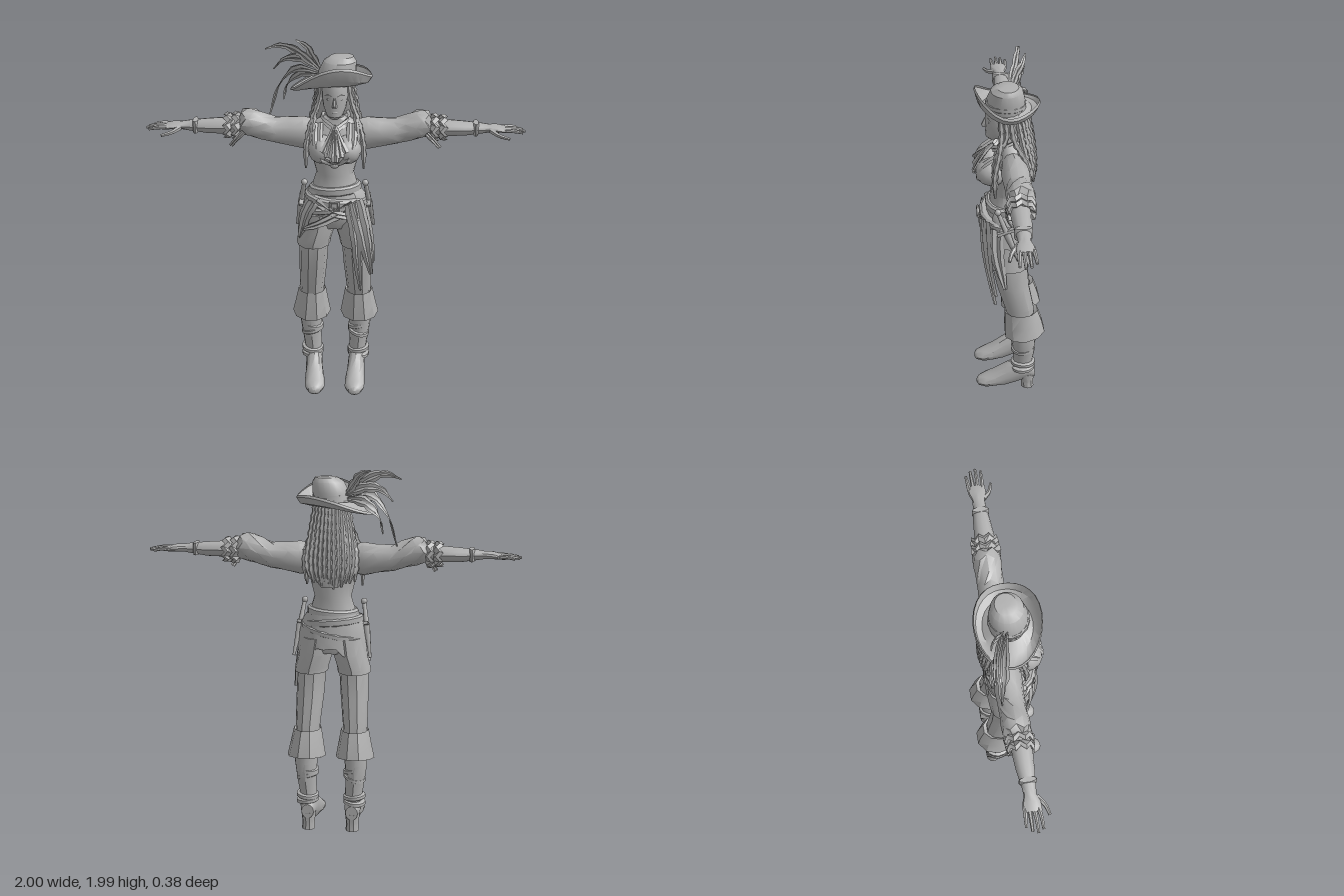
import * as THREE from 'three';
import { toCreasedNormals } from 'three/addons/utils/BufferGeometryUtils.js';

const grey = new THREE.MeshStandardMaterial({ color: 0xb0b0b0, side: THREE.DoubleSide });
grey.name = 'plain grey';
const V = (p) => new THREE.Vector3(...p);
const mirror = (rows, s) => rows.map(([x, ...r]) => [s * x, ...r]);

// Skin a grid of points; closed grids get end caps and are turned outward.
function skin(rows, closed, crease = 0.6) {
  const pos = [], idx = [], n = rows[0].length;
  rows.forEach((r) => r.forEach((p) => pos.push(p.x, p.y, p.z)));
  for (let i = 0; i < rows.length - 1; i++) {
    for (let j = 0; j < (closed ? n : n - 1); j++) {
      const a = i * n + j, b = i * n + (j + 1) % n;
      idx.push(a, b, b + n, a, b + n, a + n);
    }
  }
  if (closed) {
    [rows[0], rows[rows.length - 1]].forEach((r, e) => {
      const c = r.reduce((t, p) => t.add(p), new THREE.Vector3()).divideScalar(n);
      const k = pos.push(c.x, c.y, c.z) / 3 - 1, o = e * (rows.length - 1) * n;
      for (let j = 0; j < n; j++) {
        const a = o + j, b = o + (j + 1) % n;
        if (e) idx.push(a, b, k); else idx.push(b, a, k);
      }
    });
    const at = (i) => new THREE.Vector3().fromArray(pos, i * 3);
    let vol = 0;
    for (let i = 0; i < idx.length; i += 3) vol += at(idx[i]).dot(at(idx[i + 1]).cross(at(idx[i + 2])));
    if (vol < 0) idx.reverse();
  }
  const g = new THREE.BufferGeometry();
  g.setAttribute('position', new THREE.Float32BufferAttribute(pos, 3));
  g.setIndex(idx);
  return toCreasedNormals(g, crease);
}

// Elliptical rings [x, y, z, r1, r2] square to an axis, optionally warped.
function loft(rings, axis = 'y', n = 14, warp = null) {
  return skin(rings.map(([x, y, z, a, b], i) => Array.from({ length: n }, (_, j) => {
    const t = j / n * Math.PI * 2, c = a * Math.cos(t), s = b * Math.sin(t);
    const p = axis === 'y' ? V([x + c, y, z + s]) : axis === 'x' ? V([x, y + c, z + s]) : V([x + c, y + s, z]);
    if (warp) warp(p, t, i, j);
    return p;
  })), true);
}

// Round cord along a curve with a varying radius.
function sweep(points, radius, steps = 8, n = 6) {
  const curve = new THREE.CatmullRomCurve3(points.map(V)), f = curve.computeFrenetFrames(steps);
  return skin(Array.from({ length: steps + 1 }, (_, i) => Array.from({ length: n }, (_, j) => {
    const t = j / n * Math.PI * 2, r = radius(i / steps, i);
    return curve.getPointAt(i / steps).addScaledVector(f.normals[i], r * Math.cos(t)).addScaledVector(f.binormals[i], r * Math.sin(t));
  })), true);
}

// Thin cloth strip along a curve with a raised middle fold.
function ribbon(points, width, side, fold = 0.01, steps = 8) {
  const curve = new THREE.CatmullRomCurve3(points.map(V));
  return skin(Array.from({ length: steps + 1 }, (_, i) => {
    const t = i / steps, p = curve.getPointAt(t), tan = curve.getTangentAt(t);
    const d = V(side).addScaledVector(tan, -V(side).dot(tan)).normalize(), up = d.clone().cross(tan);
    return [-1, -0.5, 0, 0.5, 1].map((k, j) => p.clone().addScaledVector(d, k * width(t, i)).addScaledVector(up, j % 2 ? -fold : fold));
  }), false);
}

export function createModel() {
  const model = new THREE.Group();
  const add = (name, geo, parent = model) => {
    const m = new THREE.Mesh(geo, grey);
    m.name = name;
    parent.add(m);
    return m;
  };
  const ball = (name, x, y, z, a, b, c) => {
    const m = add(name, new THREE.SphereGeometry(1, 14, 10));
    m.scale.set(a, b, c);
    m.position.set(x, y, z);
  };
  const band = (name, x, y, z, a, b, h, tilt = 0, t = 0.012) => add(name, loft(
    [[x, y - h, z, a, b], [x, y - h * 0.6, z, a + t, b + t], [x, y + h * 0.6, z, a + t, b + t], [x, y + h, z, a, b]],
    'y', 14, (p) => { p.y += tilt * (p.x - x) + tilt * 0.5 * (p.z - z); }));

  // Torso, neck and bust
  add('torso', loft([[0, 1.0, 0.005, 0.12, 0.1], [0, 1.05, 0.01, 0.172, 0.118], [0, 1.15, 0.02, 0.158, 0.115], [0, 1.22, 0.015, 0.125, 0.095],
    [0, 1.3, 0.01, 0.1, 0.088], [0, 1.4, 0.015, 0.125, 0.095], [0, 1.48, 0.005, 0.148, 0.09], [0, 1.55, -0.01, 0.15, 0.07],
    [0, 1.595, -0.005, 0.085, 0.05], [0, 1.61, 0.005, 0.045, 0.042], [0, 1.68, 0.03, 0.04, 0.042]], 'y', 18));
  for (const s of [1, -1]) {
    ball('bust', s * 0.066, 1.455, 0.095, 0.075, 0.075, 0.088);
    add('shirtFront', ribbon(mirror([[0.09, 1.585, 0.045], [0.085, 1.5, 0.155], [0.05, 1.42, 0.175], [0, 1.385, 0.145]], s), () => 0.028, [1, 0, 0], 0.004));
    add('collar', ribbon(mirror([[0.055, 1.62, -0.03], [0.068, 1.6, 0.03], [0, 1.56, 0.095]], s), () => 0.022, [0.3 * s, 1, 0], 0.006));
  }
  ball('shirtKnot', 0, 1.385, 0.135, 0.025, 0.02, 0.025);
  for (let i = -2; i <= 2; i++) {
    add('cravatPleat', ribbon([[0, 1.585, 0.085], [i * 0.014, 1.52, 0.145], [i * 0.028, 1.42 + Math.abs(i) * 0.022, 0.192 - Math.abs(i) * 0.004]],
      (t) => 0.008 + 0.016 * t, [1, 0, 0.3 * i], 0.006, 4));
  }

  // Head and face
  add('head', loft([[0, 1.622, 0.085, 0.02, 0.022], [0, 1.64, 0.072, 0.042, 0.052], [0, 1.68, 0.053, 0.06, 0.07], [0, 1.73, 0.045, 0.068, 0.08],
    [0, 1.79, 0.04, 0.07, 0.085], [0, 1.86, 0.035, 0.055, 0.065]], 'y', 16));
  add('nose', loft([[0, 1.695, 0.122, 0.013, 0.02], [0, 1.705, 0.125, 0.012, 0.022], [0, 1.745, 0.118, 0.006, 0.01]], 'y', 6));
  ball('lips', 0, 1.667, 0.115, 0.019, 0.008, 0.01);
  for (const s of [1, -1]) {
    ball('eye', s * 0.027, 1.735, 0.107, 0.014, 0.007, 0.009);
    add('eyebrow', sweep(mirror([[0.012, 1.752, 0.119], [0.03, 1.76, 0.113], [0.05, 1.752, 0.096]], s), () => 0.004, 4));
  }

  // Hair: back mass covered with twisted locks, plus locks over the shoulders
  add('hairBack', loft([[0, 1.85, 0, 0.08, 0.08], [0, 1.75, -0.025, 0.092, 0.07], [0, 1.62, -0.065, 0.115, 0.052], [0, 1.5, -0.095, 0.12, 0.036],
    [0, 1.42, -0.11, 0.09, 0.026], [0, 1.37, -0.118, 0.045, 0.014]], 'y', 16));
  const lock = (pts, r) => add('hairLock', sweep(pts, (t, i) => (i % 2 ? r : r * 0.65) * (t > 0.9 ? 0.5 : 1), 18));
  for (let i = -5; i <= 5; i++) {
    const u = i / 5, k = 1 - u * u;
    lock([[u * 0.085, 1.8, -0.03 - 0.055 * k], [u * 0.11, 1.64, -0.06 - 0.055 * k], [u * 0.125, 1.5, -0.095 - 0.035 * k],
      [u * 0.105, 1.375 + 0.03 * u * u + 0.012 * (i % 2), -0.115 - 0.012 * k]], 0.019);
  }
  for (const s of [1, -1]) {
    lock(mirror([[0.068, 1.8, 0.055], [0.085, 1.7, 0.045], [0.125, 1.59, 0.06], [0.15, 1.48, 0.085], [0.152, 1.345, 0.085]], s), 0.018);
    lock(mirror([[0.075, 1.79, 0.03], [0.095, 1.68, 0.02], [0.115, 1.58, 0.07], [0.125, 1.42, 0.1]], s), 0.018);
    lock(mirror([[0.08, 1.79, 0], [0.105, 1.66, -0.02], [0.135, 1.54, -0.08], [0.13, 1.4, -0.09]], s), 0.02);
  }

  // Wide hat with an upturned brim
  add('hatCrown', loft([[0.005, 1.8, 0.02, 0.1, 0.1], [0.012, 1.86, 0.018, 0.098, 0.098], [0.025, 1.915, 0.015, 0.085, 0.082],
    [0.035, 1.938, 0.01, 0.06, 0.055], [0.04, 1.94, 0.01, 0.02, 0.02]], 'y', 18));
  band('hatBand', 0.006, 1.825, 0.02, 0.098, 0.098, 0.016, 0.12, 0.006);
  const brimLift = (t) => 0.035 * Math.cos(t) + 0.085 * Math.max(0, Math.sin(t + 0.25)) ** 2 + 0.02 * Math.cos(2 * t + 2.4);
  add('hatBrim', skin([[0.09, 0.09, 1.815, 0], [0.15, 0.125, 1.785, 0.25], [0.195, 0.155, 1.785, 0.6], [0.215, 0.17, 1.805, 1], [0.208, 0.164, 1.818, 1]]
    .map(([a, b, y, k]) => Array.from({ length: 29 }, (_, j) => {
      const t = j / 28 * Math.PI * 2;
      return V([-0.02 + a * Math.cos(t), y + k * brimLift(t), 0.01 + b * Math.sin(t)]);
    })), false));

  // Plumes
  [[[-0.07, 1.85, 0], [-0.2, 1.945, -0.05], [-0.29, 1.97, -0.07], [-0.37, 1.945, -0.08]],
    [[-0.07, 1.85, -0.02], [-0.12, 1.92, -0.05], [-0.15, 1.96, -0.08], [-0.21, 1.99, -0.1]],
    [[-0.07, 1.84, 0], [-0.2, 1.86, -0.03], [-0.3, 1.75, -0.06], [-0.35, 1.59, -0.07]],
    [[-0.07, 1.85, -0.03], [-0.18, 1.9, -0.07], [-0.27, 1.89, -0.09], [-0.33, 1.83, -0.1]],
    [[-0.07, 1.83, -0.02], [-0.18, 1.82, -0.07], [-0.26, 1.74, -0.1], [-0.28, 1.66, -0.11]]]
    .forEach((p) => add('feather', ribbon(p, (t, i) => 0.003 + 0.03 * Math.sin(Math.PI * t ** 0.8) * (i % 3 === 2 ? 0.7 : 1), [0.5, 0.9, 0.6], 0.003, 12)));

  for (const s of [1, -1]) {
    // Sleeves with creases, tied ruffles, forearms
    add('sleeve', loft(mirror([[0.1, 1.51, -0.01, 0.075, 0.06], [0.17, 1.51, -0.015, 0.09, 0.072], [0.24, 1.515, -0.02, 0.078, 0.074], [0.32, 1.52, -0.02, 0.07, 0.07],
      [0.38, 1.54, -0.02, 0.073, 0.07], [0.44, 1.56, -0.02, 0.078, 0.075], [0.48, 1.565, -0.02, 0.07, 0.072], [0.51, 1.55, -0.02, 0.045, 0.05]], s),
    'x', 12, (p, t, i, j) => { if (i > 1 && i < 7) p.x += s * 0.012 * ((i + j) % 2 ? 1 : -1); }));
    [[0.495, 0.075], [0.54, 0.07]].forEach(([x, r]) => add('sleeveRuffle', loft(
      mirror([[x, 1.545, -0.015, 0.045, 0.045], [x + 0.02, 1.545, -0.015, r, r + 0.005], [x + 0.04, 1.54, -0.015, r * 0.85, r], [x + 0.03, 1.54, -0.015, 0.045, 0.045]], s),
      'x', 16, (p, t, i, j) => { if (i === 1 || i === 2) p.x += s * (j % 2 ? 0.014 : -0.008); })));
    add('sleeveTie', ribbon(mirror([[0.48, 1.53, 0.05], [0.52, 1.49, 0.06], [0.55, 1.445, 0.03]], s), () => 0.013, [1, 0, 0], 0.004, 4));
    add('forearm', loft(mirror([[0.5, 1.545, -0.01, 0.045, 0.05], [0.6, 1.545, -0.01, 0.043, 0.052], [0.68, 1.543, -0.01, 0.039, 0.046],
      [0.77, 1.545, -0.008, 0.028, 0.035], [0.81, 1.545, -0.008, 0.021, 0.032], [0.85, 1.545, -0.008, 0.02, 0.046], [0.895, 1.54, -0.01, 0.013, 0.048]], s), 'x', 12));
    band('wristBand', s * 0.74, 1.545, -0.008, 0.014, 0.042, 0.033, 0, 0.004);
    // Fingers and thumb
    [[-0.05, 0.965], [-0.024, 0.99], [0.002, 1.0], [0.028, 0.985]].forEach(([z, x]) => add('finger',
      sweep(mirror([[0.875, 1.541, z * 0.85 - 0.003], [0.93, 1.542, z], [x, 1.533, z * 1.05]], s), (t) => 0.0125 - 0.005 * t, 5)));
    add('thumb', sweep(mirror([[0.82, 1.54, 0.02], [0.86, 1.525, 0.055], [0.915, 1.513, 0.073]], s), (t) => 0.015 - 0.007 * t, 5));

    // Legs and short breeches
    add('leg', loft(mirror([[0.085, 1.05, 0.005, 0.085, 0.105], [0.115, 0.9, 0.01, 0.08, 0.1], [0.122, 0.75, -0.01, 0.076, 0.09],
      [0.13, 0.6, -0.045, 0.068, 0.082], [0.13, 0.5, -0.06, 0.06, 0.07]], s), 'y', 10));
    add('breeches', loft(mirror([[0.08, 1.08, 0.01, 0.088, 0.115], [0.092, 0.99, 0.007, 0.093, 0.117], [0.115, 0.91, 0.01, 0.092, 0.113],
      [0.118, 0.885, 0.008, 0.092, 0.11], [0.118, 0.89, 0.008, 0.075, 0.09]], s), 'y', 12));

    // Boots: folded cuff, shaft, straps, foot and heel
    add('bootCuff', loft(mirror([[0.13, 0.555, -0.055, 0.06, 0.07], [0.13, 0.575, -0.055, 0.076, 0.094], [0.132, 0.49, -0.066, 0.092, 0.108],
      [0.134, 0.42, -0.075, 0.106, 0.115], [0.134, 0.43, -0.07, 0.062, 0.07]], s), 'y', 10, (p, t, i) => { if (i > 1) p.y -= 0.12 * (p.z + 0.07); }));
    add('bootShaft', loft(mirror([[0.135, 0.47, -0.065, 0.06, 0.068], [0.138, 0.38, -0.068, 0.062, 0.07], [0.133, 0.28, -0.073, 0.053, 0.062],
      [0.126, 0.2, -0.067, 0.047, 0.056], [0.122, 0.11, -0.07, 0.044, 0.06]], s), 'y', 12));
    [[0.345, 0.2], [0.305, -0.25], [0.19, 0.08], [0.16, -0.1]].forEach(([y, tilt]) => band('bootStrap', s * 0.13, y, -0.068, 0.052, 0.06, 0.014, tilt * s, 0.009));
    add('bootFoot', loft(mirror([[0.122, 0.11, -0.135, 0.034, 0.04], [0.122, 0.13, -0.09, 0.045, 0.07], [0.12, 0.12, -0.03, 0.047, 0.085], [0.117, 0.09, 0.03, 0.049, 0.075],
      [0.113, 0.066, 0.09, 0.055, 0.054], [0.112, 0.05, 0.145, 0.055, 0.037], [0.112, 0.045, 0.185, 0.035, 0.025], [0.112, 0.042, 0.197, 0.012, 0.012]], s), 'z', 12));
    add('bootHeel', loft(mirror([[0.122, 0, -0.095, 0.037, 0.037], [0.122, 0.04, -0.093, 0.034, 0.036], [0.122, 0.1, -0.09, 0.042, 0.048]], s), 'y', 10));

    // Sheathed daggers at the hips
    const dagger = new THREE.Group();
    dagger.name = 'dagger';
    add('grip', new THREE.CylinderGeometry(0.011, 0.014, 0.11, 8), dagger).position.y = 0.075;
    add('pommel', new THREE.SphereGeometry(0.018, 8, 6), dagger).position.y = 0.14;
    add('guard', new THREE.BoxGeometry(0.024, 0.016, 0.1), dagger).position.y = 0.015;
    add('sheath', new THREE.CylinderGeometry(0.02, 0.008, 0.18, 6), dagger).position.y = -0.08;
    dagger.position.set(s * 0.183, 1.13, 0.025);
    dagger.rotation.set(0.35, 0, s * 0.15);
    model.add(dagger);
  }

  // Belts, buckle and hip wrap
  band('waistSash', 0, 1.215, 0.018, 0.128, 0.1, 0.025, 0.06);
  band('belt', 0, 1.165, 0.025, 0.152, 0.125, 0.022, -0.08);
  band('lowBelt', 0, 1.115, 0.022, 0.164, 0.128, 0.016, 0.2);
  add('buckle', new THREE.TorusGeometry(0.03, 0.008, 4, 4, Math.PI * 2).rotateZ(Math.PI / 4)).position.set(0, 1.16, 0.168);
  add('hipWrap', skin(Array.from({ length: 6 }, (_, i) => Array.from({ length: 27 }, (_, j) => {
    const t = (45 - 270 * j / 26) * Math.PI / 180, k = i / 5, fold = j % 2 ? 0.006 * k : 0;
    const low = 0.99 + 0.035 * Math.sin(3 * t) + (j % 3) * 0.008 + 0.03 * Math.cos(t);
    return V([(0.14 + 0.05 * Math.sqrt(k) + fold) * Math.cos(t), 1.21 + (low - 1.21) * k, 0.015 + (0.113 + 0.018 * k + fold) * Math.sin(t)]);
  })), false));

  // Hanging sash tails and front drapes
  const tail = (pts, w, side = [1, 0, -0.5]) => add('sashTail', ribbon(pts, (t, i) => w * (1 - 0.75 * t * t) * (i % 2 ? 1 : 0.9), side, 0.006, 9));
  tail([[0.11, 1.18, 0.14], [0.15, 1.02, 0.135], [0.175, 0.88, 0.12], [0.2, 0.73, 0.09]], 0.05);
  tail([[0.09, 1.17, 0.15], [0.12, 0.98, 0.145], [0.13, 0.8, 0.12], [0.145, 0.63, 0.09]], 0.042);
  tail([[0.16, 1.15, 0.08], [0.19, 1.0, 0.08], [0.205, 0.88, 0.06], [0.21, 0.78, 0.04]], 0.045, [0.3, 0, -1]);
  tail([[-0.12, 1.17, 0.13], [-0.155, 1.1, 0.12], [-0.18, 1.0, 0.09], [-0.195, 0.93, 0.06]], 0.04, [1, 0, 0.5]);
  tail([[0.1, 1.16, 0.14], [0, 1.1, 0.155], [-0.09, 1.05, 0.15], [-0.17, 1.0, 0.1]], 0.035, [0, 1, 0.2]);
  tail([[-0.1, 1.17, 0.135], [0, 1.11, 0.158], [0.09, 1.09, 0.15], [0.17, 1.06, 0.09]], 0.03, [0, 1, 0.2]);

  return model;
}
